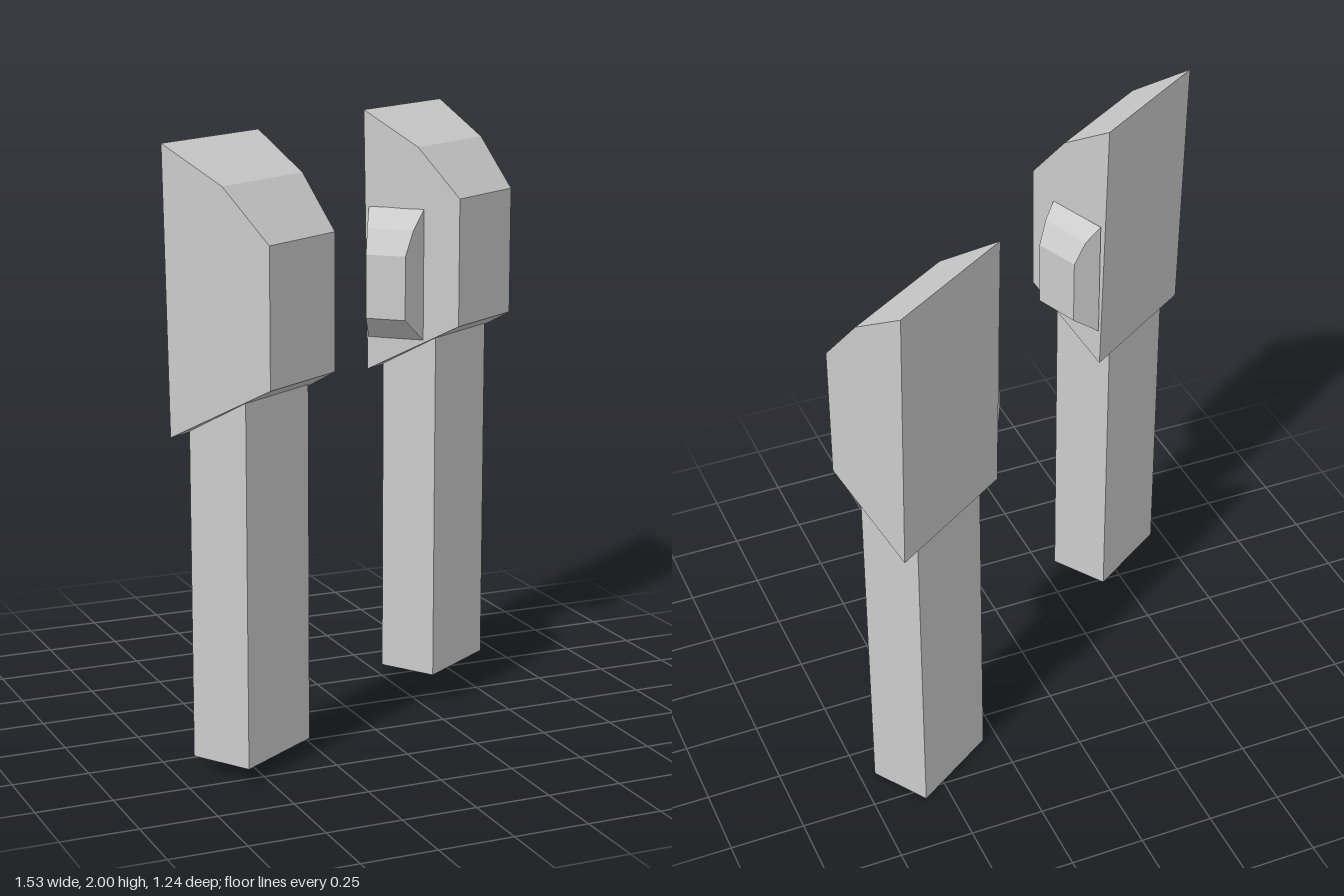
import * as THREE from 'three';

const material = new THREE.MeshStandardMaterial({ color: 0xcccccc, flatShading: true });

// Closed solid from a side profile of [z, y, halfWidth] points, widened along x.
function taperedBlock(name, profile) {
  const pos = [];
  const n = profile.length;
  const L = i => [-profile[i % n][2], profile[i % n][1], profile[i % n][0]];
  const R = i => [profile[i % n][2], profile[i % n][1], profile[i % n][0]];
  const tri = (a, b, c) => pos.push(...a, ...b, ...c);
  for (let i = 0; i < n; i++) {
    tri(L(i), R(i), R(i + 1));
    tri(L(i), R(i + 1), L(i + 1));
  }
  for (let i = 1; i < n - 1; i++) {
    tri(L(0), L(i), L(i + 1));
    tri(R(0), R(i + 1), R(i));
  }
  const geometry = new THREE.BufferGeometry();
  geometry.setAttribute('position', new THREE.Float32BufferAttribute(pos, 3));
  geometry.computeVertexNormals();
  const mesh = new THREE.Mesh(geometry, material);
  mesh.name = name;
  return mesh;
}

// One post with its head; side is the local x direction of the small bump.
function createUnit(name, side, postBottom, bump) {
  const unit = new THREE.Group();
  unit.name = name;

  // Upright post, its top buried in the head
  const postTop = 1.3;
  const post = new THREE.Mesh(new THREE.BoxGeometry(0.336, postTop - postBottom, 0.214), material);
  post.name = 'post';
  post.position.set(-0.01, (postTop + postBottom) / 2, 0.143);
  unit.add(post);

  // Head: flat back, narrowing towards the front, bevelled top
  unit.add(taperedBlock('head', [
    [0.018, 1.10, 0.25],
    [0.34, 1.27, 0.175],
    [0.34, 1.71, 0.175],
    [0.195, 1.88, 0.211],
    [0, 2.0, 0.25],
  ]));

  // Side bump: the same kind of block, smaller, square to the head's side
  const { depth, base, outer, low, high, mid, z } = bump;
  const sideBump = taperedBlock('sideBump', [
    [0, low, base],
    [depth, 1.30, outer],
    [depth, 1.52, outer],
    [depth * 0.57, mid, base + (outer - base) * 0.57],
    [0, high, base],
  ]);
  sideBump.position.set(side * 0.2265, 0, z);
  sideBump.rotation.y = side * 1.34;
  unit.add(sideBump);
  return unit;
}

export function createModel() {
  const model = new THREE.Group();
  model.name = 'pairOfPosts';
  const yaw = THREE.MathUtils.degToRad(33);

  const right = createUnit('rightPost', 1, 0.05,
    { depth: 0.09, base: 0.112, outer: 0.083, low: 1.23, high: 1.64, mid: 1.595, z: 0.1325 });
  right.position.set(-0.555, 0, 0.2375);
  right.rotation.y = yaw;

  const left = createUnit('leftPost', -1, 0,
    { depth: 0.11, base: 0.1, outer: 0.071, low: 1.215, high: 1.67, mid: 1.605, z: 0.1185 });
  left.position.set(0.43, 0, -0.4875);
  left.rotation.y = yaw;

  model.add(right, left);
  return model;
}
